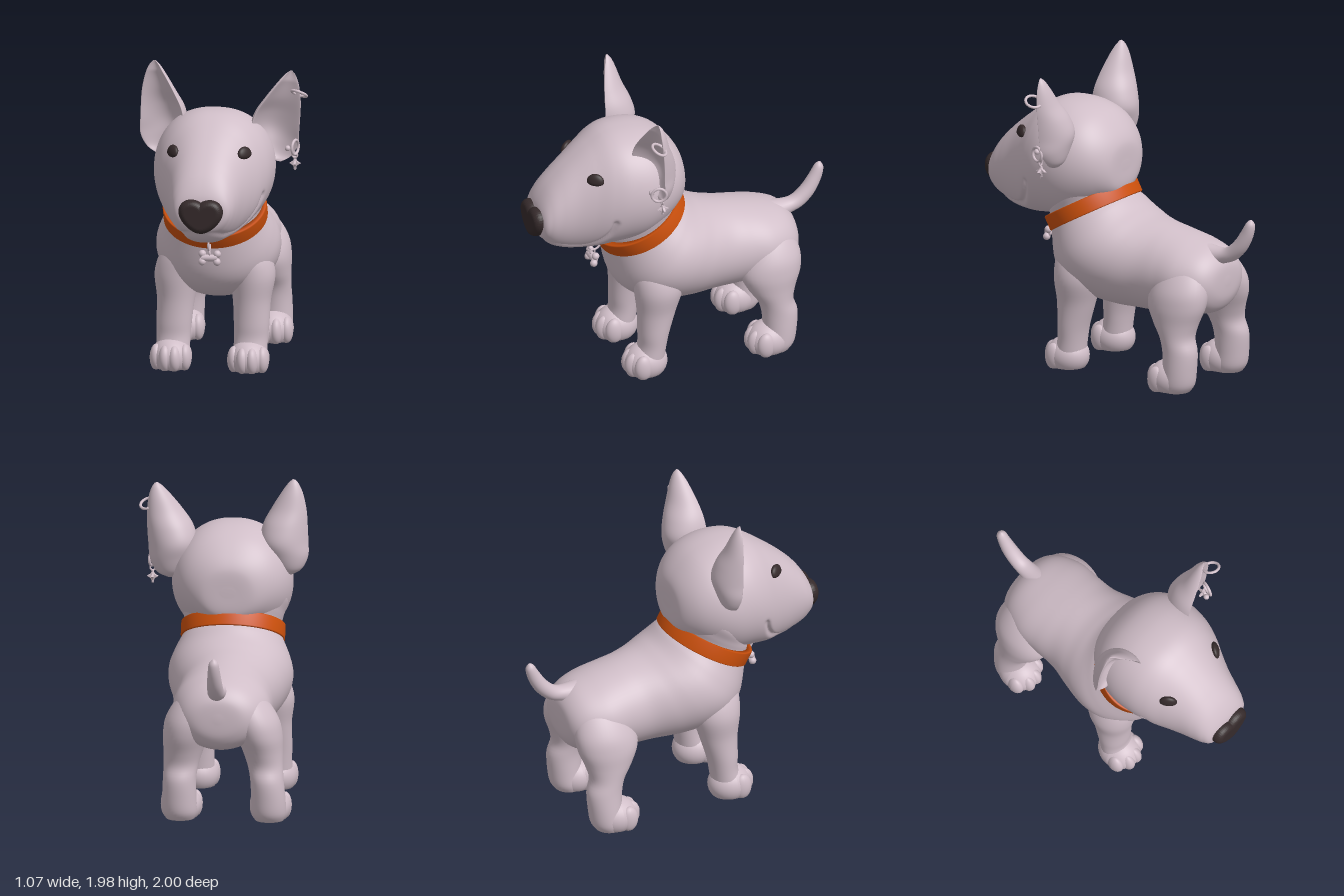
import * as THREE from 'three';

const CX = -0.06; // centre line of the dog

// Catmull-Rom interpolation through rows of numbers, u in 0..1
function sample(rows, u) {
  const n = rows.length - 1, f = Math.min(u, 1) * n, i = Math.min(Math.floor(f), n - 1), t = f - i;
  const a = rows[Math.max(i - 1, 0)], b = rows[i], c = rows[i + 1], d = rows[Math.min(i + 2, n)];
  return b.map((p, k) => 0.5 * (2 * p + (c[k] - a[k]) * t + (2 * a[k] - 5 * p + 4 * c[k] - d[k]) * t * t
    + (3 * p - a[k] - 3 * c[k] + d[k]) * t * t * t));
}

// Closed smooth skin over rings given by point(u, angle); faces are turned outward
function loft(point, nu, nv) {
  const pos = [], idx = [];
  for (let i = 0; i <= nu; i++)
    for (let j = 0; j < nv; j++) pos.push(...point(i / nu, (j / nv) * Math.PI * 2));
  for (let i = 0; i < nu; i++)
    for (let j = 0; j < nv; j++) {
      const k = (j + 1) % nv, a = i * nv + j, b = i * nv + k, c = a + nv, d = b + nv;
      idx.push(a, b, d, a, d, c);
    }
  for (const end of [0, nu]) {
    const mid = [0, 0, 0], m = pos.length / 3;
    for (let j = 0; j < nv; j++) for (let k = 0; k < 3; k++) mid[k] += pos[(end * nv + j) * 3 + k] / nv;
    pos.push(...mid);
    for (let j = 0; j < nv; j++) {
      const a = end * nv + j, b = end * nv + (j + 1) % nv;
      idx.push(...(end ? [a, b, m] : [b, a, m]));
    }
  }
  let volume = 0;
  const v = i => new THREE.Vector3().fromArray(pos, i * 3);
  for (let i = 0; i < idx.length; i += 3) volume += v(idx[i]).dot(v(idx[i + 1]).cross(v(idx[i + 2])));
  if (volume < 0) for (let i = 0; i < idx.length; i += 3) [idx[i], idx[i + 1]] = [idx[i + 1], idx[i]];
  const g = new THREE.BufferGeometry();
  g.setAttribute('position', new THREE.Float32BufferAttribute(pos, 3));
  g.setIndex(idx);
  g.computeVertexNormals();
  return g;
}

// Ring between a top and a bottom point: [topZ, topY, bottomZ, bottomY, halfWidth]
const spine = (rows, power = 1, x = CX) => (u, a) => {
  const [zt, yt, zb, yb, w] = sample(rows, u), s = Math.sin(a), c = Math.cos(a);
  return [x + w * Math.sign(c) * Math.abs(c) ** power,
    (yt + yb) / 2 + s * (yt - yb) / 2, (zt + zb) / 2 + s * (zt - zb) / 2];
};

// Ellipsoid; everything below floor (relative to its centre) is flattened by the given factor
function blob(x, y, z, rx, ry, rz, floor, squash) {
  const g = new THREE.SphereGeometry(1, 28, 20).scale(rx, ry, rz), p = g.attributes.position;
  for (let i = 0; i < p.count; i++) if (p.getY(i) < floor) p.setY(i, floor + (p.getY(i) - floor) * squash);
  g.computeVertexNormals();
  return g.translate(x, y, z);
}

export function createModel() {
  const root = new THREE.Group();
  const mat = (name, color) => Object.assign(new THREE.MeshStandardMaterial({ color }), { name });
  const coat = mat('coat', 0xd0bec8), dark = mat('dark nose', 0x352a2b), orange = mat('collar orange', 0xcc500c);
  const add = (name, geo, material = coat, parent = root) => {
    const m = new THREE.Mesh(geo, material);
    m.name = name;
    parent.add(m);
    return m;
  };
  const group = name => {
    const g = new THREE.Group();
    g.name = name;
    root.add(g);
    return g;
  };

  // Body with chest and neck
  add('body', loft(spine([
    [-0.79, 0.72, -0.79, 0.68, 0.02], [-0.775, 0.82, -0.775, 0.57, 0.16], [-0.70, 0.90, -0.71, 0.49, 0.25],
    [-0.57, 0.945, -0.55, 0.455, 0.305], [-0.42, 0.98, -0.4, 0.435, 0.305], [-0.32, 1.0, -0.2, 0.43, 0.31],
    [-0.22, 1.02, 0, 0.43, 0.35], [-0.15, 1.045, 0.2, 0.46, 0.385], [-0.1, 1.07, 0.35, 0.53, 0.39],
    [-0.05, 1.11, 0.44, 0.65, 0.36], [0.01, 1.165, 0.492, 0.885, 0.3], [0.005, 1.28, 0.5, 0.97, 0.315],
    [0.03, 1.4, 0.46, 1.08, 0.345], [0.1, 1.5, 0.4, 1.25, 0.3]]), 90, 64));

  // Head, with the smile pressed in as a groove
  const headPoint = spine([
    [-0.01, 1.35, -0.01, 1.3, 0.04], [0.0, 1.47, 0.0, 1.17, 0.17], [0.06, 1.57, 0.08, 1.1, 0.28],
    [0.15, 1.65, 0.2, 1.02, 0.35], [0.27, 1.695, 0.33, 0.96, 0.38], [0.4, 1.705, 0.48, 0.945, 0.37],
    [0.5, 1.685, 0.6, 0.93, 0.335], [0.6, 1.625, 0.7, 0.93, 0.285], [0.7, 1.55, 0.78, 0.94, 0.245],
    [0.8, 1.465, 0.86, 0.97, 0.215], [0.885, 1.375, 0.91, 1.01, 0.19], [0.94, 1.28, 0.945, 1.06, 0.15],
    [0.96, 1.19, 0.96, 1.13, 0.04]], 0.86, -0.05);
  const mouth = [[0.92, 1.03], [0.82, 1.0], [0.7, 0.99], [0.62, 1.03], [0.56, 1.11], [0.53, 1.2]];
  const smile = Array.from({ length: 61 }, (_, i) => sample(mouth, i / 60));
  const head = add('head', loft((u, a) => {
    const [x, y, z] = headPoint(u, a);
    const d = Math.min(...smile.map(p => Math.hypot(z - p[0], y - p[1])));
    const k = 1 - 0.07 * Math.exp(-((d / 0.015) ** 2));
    return [-0.05 + (x + 0.05) * k, 1.25 + (y - 1.25) * k, z];
  }, 130, 150));

  // Eyes set on the surface of the head, domed above and flat below
  head.updateMatrixWorld();
  for (const s of [-1, 1]) {
    const ray = new THREE.Raycaster(new THREE.Vector3(-0.045 + s * 0.226, 1.48, 3), new THREE.Vector3(0, 0, -1));
    const hit = ray.intersectObject(head)[0];
    const facing = hit.face.normal.clone().multiply(new THREE.Vector3(1, 0.35, 1));
    const eye = add(s > 0 ? 'leftEye' : 'rightEye', blob(0, 0, 0, 0.056, 0.05, 0.026, -0.005, 0.55), dark);
    eye.position.copy(hit.point);
    eye.lookAt(hit.point.clone().add(facing));
  }

  // Heart-shaped nose with a rounded front
  const heart = new THREE.Shape();
  heart.moveTo(0, 0.035);
  heart.bezierCurveTo(0.03, 0.08, 0.1, 0.075, 0.1, 0.03);
  heart.bezierCurveTo(0.1, -0.01, 0.04, -0.07, 0, -0.07);
  heart.bezierCurveTo(-0.04, -0.07, -0.1, -0.01, -0.1, 0.03);
  heart.bezierCurveTo(-0.1, 0.075, -0.03, 0.08, 0, 0.035);
  add('nose', new THREE.ExtrudeGeometry(heart, {
    depth: 0.01, bevelSize: 0.04, bevelThickness: 0.045, bevelSegments: 8, curveSegments: 16,
  }).translate(-0.05, 1.15, 0.945), dark);

  // Ears: cupped shells, [y, x, z, halfWidth, depth]
  const earRows = [
    [1.39, 0.35, 0.28, 0.04, 0.04], [1.43, 0.355, 0.29, 0.095, 0.09], [1.51, 0.345, 0.32, 0.145, 0.15],
    [1.6, 0.335, 0.335, 0.155, 0.185], [1.7, 0.34, 0.335, 0.145, 0.16], [1.8, 0.36, 0.33, 0.115, 0.11],
    [1.9, 0.378, 0.32, 0.072, 0.068], [1.96, 0.385, 0.312, 0.037, 0.035], [1.99, 0.387, 0.308, 0.008, 0.008]];
  const earGeo = side => loft((u, a) => {
    const [y, x, z, w, d] = sample(earRows, u), s = Math.sin(a), lx = w * Math.cos(a);
    const lz = s > 0 ? Math.min(0.03, w * 0.5) * s - 0.75 * d * s * s : d * s;
    const c = Math.cos(0.36), n = Math.sin(0.36);
    return [side * (x + lx * c + lz * n), y, z - lx * n + lz * c];
  }, 48, 56);
  add('rightEar', earGeo(-1)).position.x = -0.05;
  add('leftEar', earGeo(1).translate(-0.3, -1.5, 0).rotateZ(-0.12).translate(0.285, 1.475, 0));

  // Legs, [y, x, z, halfWidth, halfDepth], each with a four-toed paw
  const legs = {
    Front: { z: 0.285, x: 0.245, rows: [[0.92, 0.13, 0.2, 0.06, 0.08], [0.77, 0.19, 0.2, 0.135, 0.155],
      [0.62, 0.235, 0.2, 0.145, 0.16], [0.45, 0.24, 0.215, 0.12, 0.125], [0.3, 0.245, 0.235, 0.112, 0.1],
      [0.2, 0.245, 0.245, 0.107, 0.09], [0.08, 0.245, 0.27, 0.106, 0.1], [0.01, 0.245, 0.275, 0.092, 0.09]] },
    Hind: { z: -0.53, x: 0.28, rows: [[0.9, 0.1, -0.56, 0.04, 0.06], [0.79, 0.15, -0.565, 0.12, 0.15],
      [0.67, 0.2, -0.565, 0.15, 0.195], [0.56, 0.23, -0.555, 0.145, 0.2], [0.45, 0.25, -0.56, 0.125, 0.155],
      [0.36, 0.265, -0.58, 0.11, 0.115], [0.27, 0.275, -0.605, 0.105, 0.115], [0.15, 0.28, -0.605, 0.108, 0.108],
      [0.06, 0.28, -0.59, 0.108, 0.108], [0.01, 0.28, -0.575, 0.09, 0.09]] },
  };
  const lean = y => -0.025 * (1 - y / 0.9); // the paws stand slightly to the right
  for (const [kind, { x, z, rows }] of Object.entries(legs))
    for (const s of [-1, 1]) {
      const g = group((s > 0 ? 'left' : 'right') + kind + 'Leg');
      g.position.x = CX;
      add('leg', loft((u, a) => {
        const [y, cx, cz, w, d] = sample(rows, u);
        return [s * (cx + w * Math.cos(a)) + lean(y), y, cz + d * Math.sin(a)];
      }, 40, 36), coat, g);
      const px = s * x + lean(0);
      add('paw', blob(px, 0.085, z, 0.128, 0.122, 0.14, -0.075, 0), coat, g);
      for (const t of [-1.5, -0.5, 0.5, 1.5])
        add('toe', blob(px + t * 0.06, 0.085, z + 0.095 - 0.021 * t * t, 0.042, 0.085, 0.06, -0.075, 0), coat, g);
    }

  // Tail
  add('tail', loft(spine([
    [-0.6, 0.93, -0.68, 0.78, 0.08], [-0.72, 0.915, -0.77, 0.815, 0.058], [-0.79, 0.925, -0.855, 0.85, 0.052],
    [-0.855, 0.98, -0.93, 0.92, 0.048], [-0.905, 1.05, -0.98, 1.01, 0.04], [-0.945, 1.115, -1.0, 1.09, 0.03],
    [-0.97, 1.135, -0.985, 1.13, 0.006]], 1, -0.05), 40, 28));

  // Collar band with softened edges
  const band = [[0.27, -0.049], [0.3, -0.049], [0.306, -0.043], [0.306, 0.043], [0.3, 0.049], [0.27, 0.049], [0.27, -0.049]];
  add('collar', new THREE.LatheGeometry(band.map(p => new THREE.Vector2(...p)), 80)
    .scale(1.07, 1, 1).rotateX(0.515).translate(CX, 1.022, 0.248), orange);

  // Bone tag on a ring
  const tag = group('boneTag');
  add('tagRing', new THREE.TorusGeometry(0.04, 0.007, 10, 28).rotateY(Math.PI / 2).translate(-0.055, 0.873, 0.545), coat, tag);
  add('boneShaft', new THREE.CylinderGeometry(0.022, 0.022, 0.1, 16).rotateZ(Math.PI / 2).translate(-0.05, 0.79, 0.562), coat, tag);
  add('boneLoop', new THREE.TorusGeometry(0.015, 0.006, 8, 20).rotateY(Math.PI / 2).translate(-0.05, 0.823, 0.558), coat, tag);
  for (const sx of [-1, 1]) for (const sy of [-1, 1])
    add('boneKnob', new THREE.SphereGeometry(0.024, 16, 12)
      .translate(-0.05 + sx * 0.047, 0.79 + sy * 0.024, 0.562 - sy * 0.006), coat, tag);

  // Jewellery on the left ear: hoop, ring, stud and star pendant
  const jewels = group('earrings');
  add('upperHoop', new THREE.TorusGeometry(0.05, 0.009, 10, 32).rotateX(1.1).rotateZ(-0.3).translate(0.482, 1.81, 0.322), coat, jewels);
  add('lowerRing', new THREE.TorusGeometry(0.046, 0.009, 10, 32).rotateY(1.25).translate(0.455, 1.46, 0.312), coat, jewels);
  add('stud', new THREE.SphereGeometry(0.018, 16, 12).translate(0.412, 1.46, 0.345), coat, jewels);
  add('pendantLink', new THREE.TorusGeometry(0.016, 0.006, 8, 20).translate(0.45, 1.405, 0.29), coat, jewels);
  const star = new THREE.Shape(Array.from({ length: 8 }, (_, i) => {
    const r = i % 2 ? 0.014 : 0.031, a = i * Math.PI / 4;
    return new THREE.Vector2(r * Math.cos(a), r * 1.25 * Math.sin(a));
  }));
  for (const turn of [0, Math.PI / 2])
    add('star', new THREE.ExtrudeGeometry(star, { depth: 0.008, bevelSize: 0.004, bevelThickness: 0.004, bevelSegments: 2 })
      .translate(0, 0, -0.004).rotateY(turn).translate(0.45, 1.352, 0.285), coat, jewels);

  return root;
}
